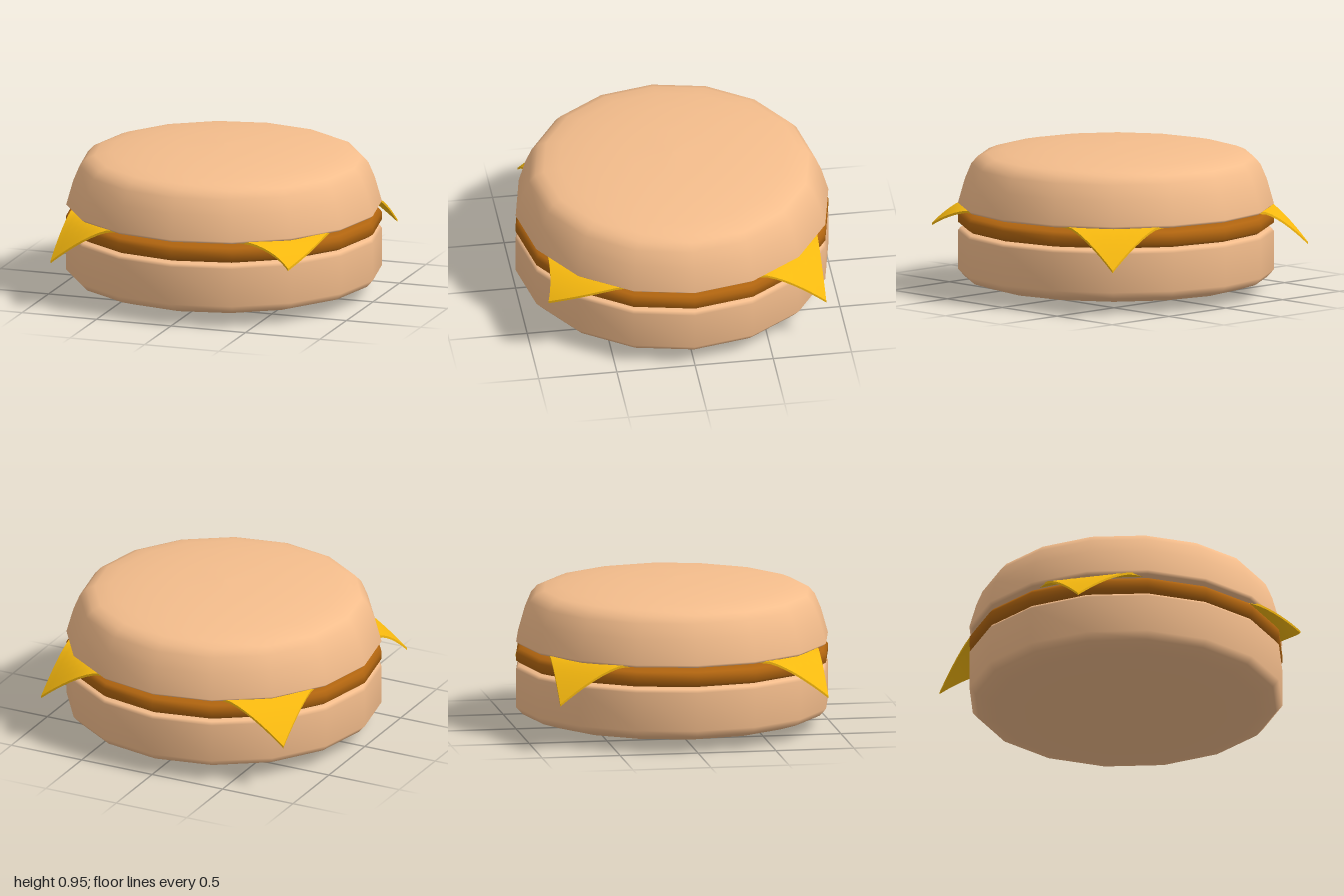
import * as THREE from 'three';

const bunMat = new THREE.MeshStandardMaterial({ color: 0xf4bd8c });
const pattyMat = new THREE.MeshStandardMaterial({ color: 0xb0640f });
const cheeseMat = new THREE.MeshStandardMaterial({ color: 0xf7b90f });

// Sixteen-sided round layer from a bottom-to-top profile of [radius, height]
function layer(name, profile, material) {
  const points = profile.map(([r, y]) => new THREE.Vector2(r, y));
  const mesh = new THREE.Mesh(new THREE.LatheGeometry(points, 16), material);
  mesh.name = name;
  return mesh;
}

// Square slice whose corners droop; the front corner at +x curls inward
function cheeseSlice() {
  const geometry = new THREE.BoxGeometry(1.72, 0.015, 1.72, 32, 1, 32);
  const p = geometry.attributes.position;
  for (let i = 0; i < p.count; i++) {
    const x = p.getX(i), z = p.getZ(i);
    const d = Math.max(0, (Math.abs(x) + Math.abs(z) - 1.31) / 0.41);
    const curled = x > 0 && z > 0;
    const drop = (curled ? 0.14 : 0.24) * Math.pow(d, 1.4);
    p.setY(i, p.getY(i) + 0.547 - drop);
    if (curled) {
      p.setX(i, x - 0.11 * d * d);
      p.setZ(i, z + 0.04 * d * d);
    }
  }
  geometry.computeVertexNormals();
  const mesh = new THREE.Mesh(geometry, cheeseMat);
  mesh.name = 'cheeseSlice';
  return mesh;
}

export function createModel() {
  const burger = new THREE.Group();
  burger.name = 'burger';
  burger.add(
    layer('bottomBun', [
      [0, 0], [0.3, 0.008], [0.64, 0.03], [0.85, 0.06], [0.96, 0.095], [1, 0.14],
      [1, 0.385], [0.985, 0.405], [0.93, 0.413], [0, 0.413],
    ], bunMat),
    layer('patty', [
      [0, 0.41], [0.92, 0.412], [0.97, 0.42], [1, 0.44],
      [1, 0.49], [0.98, 0.515], [0.92, 0.532], [0, 0.535],
    ], pattyMat),
    cheeseSlice(),
    layer('topBun', [
      [0, 0.53], [0.92, 0.535], [0.98, 0.545], [1, 0.562], [0.955, 0.72], [0.915, 0.815],
      [0.875, 0.86], [0.82, 0.883], [0.72, 0.904], [0.52, 0.93], [0.27, 0.945], [0, 0.95],
    ], bunMat),
  );
  return burger;
}
